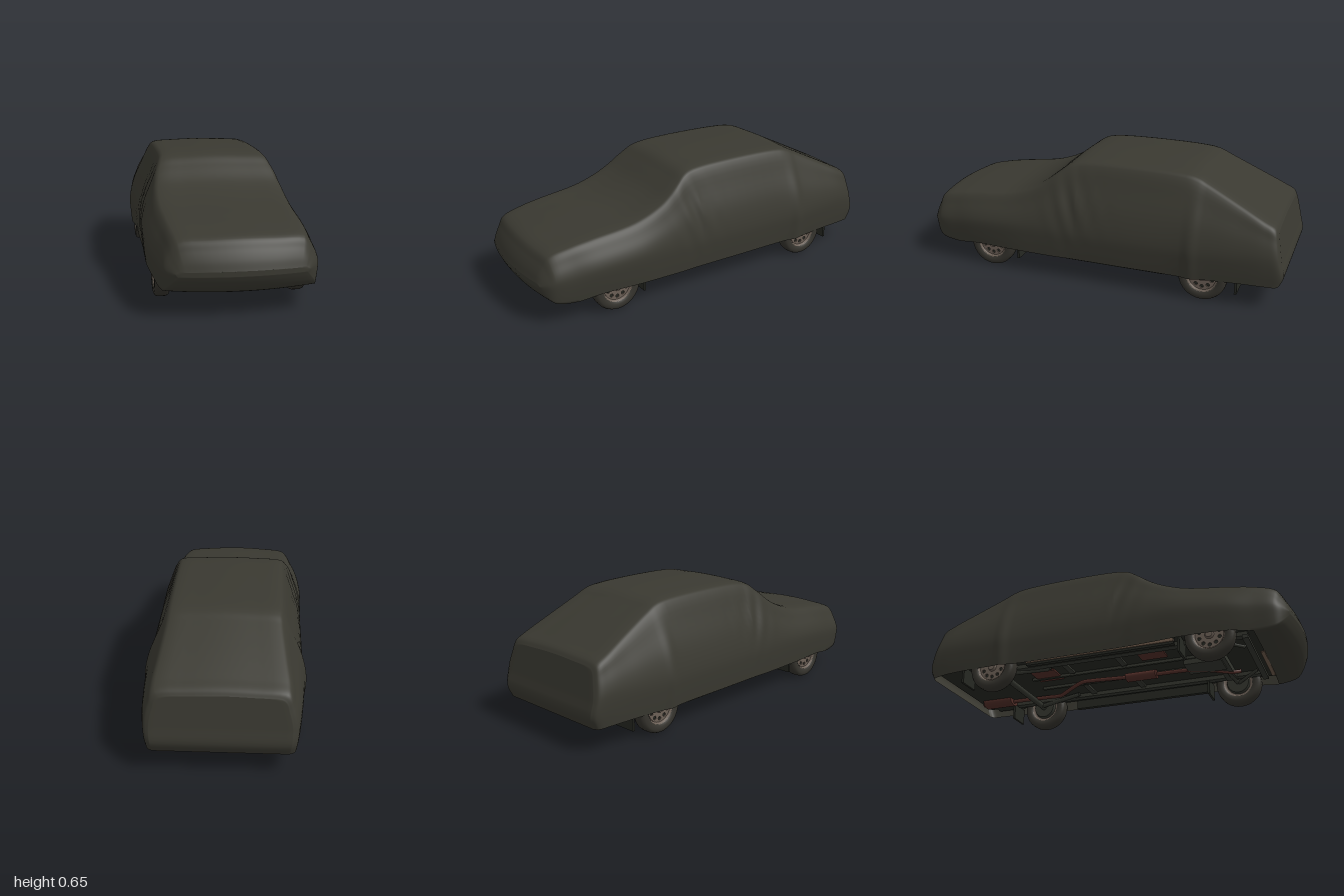
import * as THREE from 'three';
import { mergeGeometries, mergeVertices } from 'three/addons/utils/BufferGeometryUtils.js';

const mat = (name, color, side = THREE.FrontSide) => {
  const m = new THREE.MeshStandardMaterial({ color, side });
  m.name = name;
  return m;
};

// Cover sections, front to back: z, top y, hem y, roof half width, belt half width
const SECTIONS = [
  [1.0, 0.225, 0.2, 0.28, 0.3],
  [0.985, 0.268, 0.172, 0.29, 0.322],
  [0.962, 0.312, 0.142, 0.3, 0.345],
  [0.93, 0.357, 0.122, 0.308, 0.358],
  [0.81, 0.388, 0.108, 0.32, 0.372],
  [0.68, 0.407, 0.122, 0.328, 0.388],
  [0.45, 0.44, 0.122, 0.336, 0.4],
  [0.3, 0.5, 0.118, 0.33, 0.396],
  [0.2, 0.573, 0.116, 0.312, 0.393],
  [0.14, 0.618, 0.116, 0.293, 0.39],
  [0.08, 0.635, 0.116, 0.285, 0.389],
  [-0.15, 0.645, 0.116, 0.282, 0.389],
  [-0.48, 0.636, 0.117, 0.28, 0.391],
  [-0.54, 0.622, 0.118, 0.28, 0.402],
  [-0.59, 0.598, 0.12, 0.283, 0.394],
  [-0.75, 0.52, 0.124, 0.302, 0.38],
  [-0.88, 0.455, 0.122, 0.318, 0.365],
  [-0.935, 0.427, 0.118, 0.315, 0.35],
  [-0.952, 0.405, 0.118, 0.295, 0.325],
];

function sectionPoints([z, yT, yH, wT, wB]) {
  const bend = 0.4 * (Math.max(0, z - 0.6) / 0.4) ** 2; // nose curves back in plan
  const slant = 0.2 * (Math.max(0, -0.55 - z) / 0.4) ** 2; // tail leans back, then tucks under
  const d = Math.min(1, (yT - yH) / 0.2);
  const wH = wB - 0.012;
  const yM = yH + 0.45 * (Math.min(yT, 0.46) - yH);
  const yS = yT - 0.03 * d;
  const mix = THREE.MathUtils.lerp;
  const half = [
    [wH, yH], [mix(wH, wB, 0.65), mix(yH, yM, 0.45)], [wB, yM],
    [mix(wB, wT, 0.2), mix(yM, yS, 0.35)], [mix(wB, wT, 0.6), mix(yM, yS, 0.7)],
    [wT, yS], [wT - 0.022, yT - 0.013 * d], [wT * 0.5, yT - 0.004 * d],
  ];
  const mirrored = half.map(([x, y]) => [-x, y]).reverse();
  return [...half, [0, yT], ...mirrored].map(([x, y]) => new THREE.Vector3(
    x, y, z - bend * x * x - slant * (yT - Math.max(y, 0.165)) + 2.5 * slant * Math.max(0, 0.165 - y)));
}

// Surface through equal rows of points
function gridGeometry(rows) {
  const pos = [], idx = [], n = rows[0].length;
  rows.forEach((row, i) => row.forEach((p, j) => {
    pos.push(p.x, p.y, p.z);
    if (i === rows.length - 1 || j === n - 1) return;
    const a = i * n + j, c = a + n;
    idx.push(a, c, a + 1, a + 1, c, c + 1);
  }));
  const g = new THREE.BufferGeometry();
  g.setAttribute('position', new THREE.Float32BufferAttribute(pos, 3));
  g.setIndex(idx);
  return g;
}

// Draped cover lofted smoothly through the sections, closed at nose, chin and tail
function coverGeometry() {
  const controls = SECTIONS.map(sectionPoints);
  const lines = controls[0].map((_, j) => new THREE.CatmullRomCurve3(controls.map(s => s[j])));
  const steps = (SECTIONS.length - 1) * 6, across = 64, mid = across / 2;
  const rings = [];
  for (let i = 0; i <= steps; i++) {
    const ring = new THREE.CatmullRomCurve3(lines.map(l => l.getPoint(i / steps)));
    const pts = [];
    for (let j = 0; j <= across; j++) {
      const p = ring.getPoint(j / across);
      // soft hanging folds below the front roof corners
      const fold = Math.exp(-(((p.z - 0.08) / 0.14) ** 2)) * Math.exp(-(((p.y - 0.42) / 0.13) ** 2));
      p.x *= 1 + 0.013 * fold * Math.sin((p.z - 0.35 * p.y) * 62);
      pts.push(p);
    }
    rings.push(pts);
  }
  // Row from the left edge to the right edge of a ring, bulging in z and sagging in y
  const span = (ring, j, zMid, sag) => Array.from({ length: 25 }, (_, k) => {
    const u = 1 - k / 12, p = ring[j];
    return new THREE.Vector3(p.x * u, p.y - sag * (1 - u * u), zMid + (p.z - zMid) * u * u);
  });
  const nose = rings[0], tail = rings[steps];
  const noseCap = [], tailCap = [];
  for (let j = 0; j <= mid; j++) {
    noseCap.push(span(nose, j, nose[mid].z, 0));
    tailCap.unshift(span(tail, j, tail[j].z, 0));
  }
  const chin = rings.filter(r => r[mid].z > 0.805)
    .map(r => span(r, 0, r[mid].z, 0.13 * (1 - r[mid].z))).reverse();
  const g = mergeVertices(mergeGeometries([rings, noseCap, chin, tailCap].map(gridGeometry)));
  g.computeVertexNormals();
  return g;
}

export function createModel() {
  const model = new THREE.Group();
  model.name = 'coveredCar';
  const cloth = mat('coverCloth', 0x3a3931, THREE.DoubleSide);
  const rubber = mat('tyreRubber', 0x35332d);
  const metal = mat('rimMetal', 0x6c6056);
  const under = mat('underbodyBlack', 0x262822);
  const frame = mat('chassisGrey', 0x34362f);
  const rust = mat('exhaustRust', 0x522e28);
  const paint = mat('sillTan', 0x705c4c);

  const add = (name, geo, m, x = 0, y = 0, z = 0, parent = model) => {
    const mesh = new THREE.Mesh(geo, m);
    mesh.name = name;
    mesh.position.set(x, y, z);
    parent.add(mesh);
    return mesh;
  };
  const box = (name, m, w, h, d, x, y, z) => add(name, new THREE.BoxGeometry(w, h, d), m, x, y, z);
  const tube = (name, m, r, pts) => add(name, new THREE.TubeGeometry(
    new THREE.CatmullRomCurve3(pts.map(p => new THREE.Vector3(...p)), false, 'catmullrom', 0.2),
    pts.length * 8, r, 10), m);

  add('cover', coverGeometry(), cloth);

  // Floor, side sills and ribs
  box('floorPan', under, 0.68, 0.02, 1.72, 0, 0.165, -0.06);
  box('rearFloor', under, 0.6, 0.02, 0.1, 0, 0.165, -0.91);
  box('frontCrossMember', frame, 0.5, 0.035, 0.06, 0, 0.14, 0.56);
  box('radiatorSupport', frame, 0.56, 0.02, 0.03, 0, 0.125, 0.74);
  box('frontLip', paint, 0.32, 0.006, 0.02, 0, 0.085, 0.8);
  box('engineSump', frame, 0.14, 0.045, 0.2, 0, 0.135, 0.47);
  box('seatPanRear', rust, 0.14, 0.01, 0.14, -0.1, 0.151, -0.4);
  box('seatPanFront', rust, 0.1, 0.01, 0.14, -0.17, 0.151, 0.23);
  for (const s of [1, -1]) {
    box('tunnelEdge', frame, 0.015, 0.02, 1.0, 0.07 * s, 0.15, 0);
    box('sill', under, 0.025, 0.05, 0.8, 0.345 * s, 0.13, 0);
    box('sillPaint', paint, 0.006, 0.036, 0.8, 0.361 * s, 0.135, 0);
    box('frameRail', frame, 0.04, 0.025, 1.5, 0.25 * s, 0.145, 0);
    for (const z of [0.05, -0.25]) box('floorRib', frame, 0.14, 0.012, 0.03, 0.16 * s, 0.15, z);
    // Mud flaps behind each wheel
    box('frontMudFlap', under, 0.12, 0.09, 0.012, 0.3 * s, 0.105, 0.425);
    box('rearMudFlap', under, 0.12, 0.09, 0.012, 0.3 * s, 0.105, -0.772);
    // Suspension arms
    tube('frontArm', frame, 0.012, [[0.12 * s, 0.13, 0.56], [0.3 * s, 0.125, 0.58]]);
    tube('frontStrut', frame, 0.009, [[0.15 * s, 0.125, 0.72], [0.29 * s, 0.12, 0.59]]);
    tube('rearTrailingArm', frame, 0.012, [[0.2 * s, 0.14, -0.33], [0.26 * s, 0.12, -0.6]]);
  }
  tube('rearAxle', frame, 0.017, [[-0.31, 0.125, -0.6], [0.31, 0.125, -0.6]]);

  // Exhaust line with two silencers
  tube('exhaustPipe', rust, 0.011, [[0.18, 0.14, 0.62], [0.14, 0.125, 0.58], [0.03, 0.122, 0.4],
    [0.02, 0.122, 0.1], [-0.01, 0.122, -0.22], [0.14, 0.122, -0.42], [0.17, 0.135, -0.52],
    [0.19, 0.145, -0.7], [0.19, 0.145, -0.95]]);
  const silencer = (name, r, len, x, y, z) => {
    const m = add(name, new THREE.CylinderGeometry(r, r, len, 20), rust, x, y, z);
    m.rotation.x = Math.PI / 2;
    m.scale.x = 1.6;
  };
  silencer('middleSilencer', 0.022, 0.17, 0.02, 0.122, 0.11);
  silencer('rearSilencer', 0.03, 0.18, 0.19, 0.152, -0.84);

  // Wheels: rounded tyre, dished rim, slotted face and hub, axis along y before turning
  const v = pts => pts.map(([r, y]) => new THREE.Vector2(r, y));
  const tyreGeo = new THREE.LatheGeometry(v([[0.078, -0.03], [0.09, -0.038], [0.108, -0.037],
    [0.12, -0.031], [0.125, -0.02], [0.126, 0], [0.125, 0.02], [0.12, 0.031], [0.108, 0.037],
    [0.09, 0.038], [0.078, 0.03]]), 40);
  const rimGeo = new THREE.LatheGeometry(v([[0.001, -0.02], [0.07, -0.02], [0.08, -0.032],
    [0.083, -0.03], [0.083, 0.03], [0.08, 0.032], [0.072, 0.022], [0.07, 0.008], [0.001, 0.008]]), 40);
  const face = new THREE.Shape().absarc(0, 0, 0.071, 0, Math.PI * 2);
  for (let i = 0; i < 10; i++) {
    const a = (i / 10) * Math.PI * 2;
    face.holes.push(new THREE.Path().absarc(0.053 * Math.cos(a), 0.053 * Math.sin(a), 0.009, 0, Math.PI * 2, true));
  }
  const faceGeo = new THREE.ExtrudeGeometry(face, { depth: 0.006, bevelEnabled: false, curveSegments: 20 });
  faceGeo.rotateX(-Math.PI / 2);
  const backGeo = new THREE.CylinderGeometry(0.07, 0.07, 0.004, 32);
  const hubGeo = new THREE.CylinderGeometry(0.018, 0.024, 0.016, 20);
  const drumGeo = new THREE.CylinderGeometry(0.068, 0.06, 0.03, 24);
  for (const [label, z] of [['front', 0.58], ['rear', -0.6]]) {
    for (const s of [1, -1]) {
      const wheel = new THREE.Group();
      wheel.name = label + 'Wheel';
      wheel.position.set(0.332 * s, 0.126, z);
      wheel.rotation.z = -s * Math.PI / 2;
      add('tyre', tyreGeo, rubber, 0, 0, 0, wheel);
      add('rim', rimGeo, metal, 0, 0, 0, wheel);
      add('rimShadowPlate', backGeo, under, 0, 0.009, 0, wheel);
      add('rimFace', faceGeo, metal, 0, 0.016, 0, wheel);
      add('hub', hubGeo, metal, 0, 0.028, 0, wheel);
      add('brakeDrum', drumGeo, frame, 0, -0.025, 0, wheel);
      model.add(wheel);
    }
  }
  return model;
}
